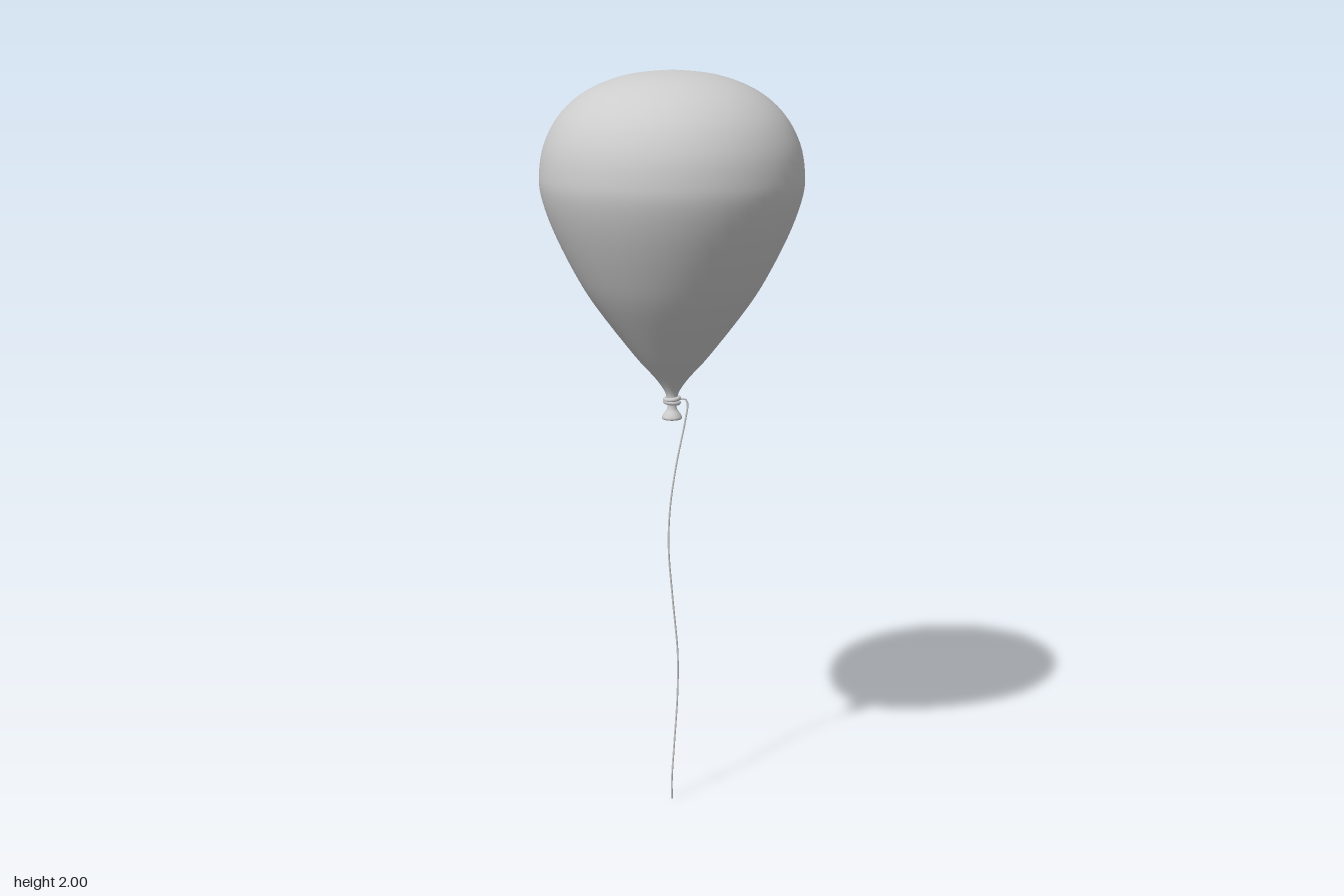
import * as THREE from 'three';

export function createModel() {
  const group = new THREE.Group();
  group.name = 'balloon';
  const rubber = new THREE.MeshStandardMaterial({ color: 0xcccccc, side: THREE.DoubleSide });
  rubber.name = 'light grey';

  const add = (name, geometry) => {
    const mesh = new THREE.Mesh(geometry, rubber);
    mesh.name = name;
    group.add(mesh);
    return mesh;
  };
  const v2 = ([r, y]) => new THREE.Vector2(r, y);

  // Inflated teardrop body, smooth profile from neck to crown
  const profile = new THREE.SplineCurve([
    [0.015, 1.13], [0.018, 1.155], [0.045, 1.195], [0.1, 1.257], [0.205, 1.395],
    [0.262, 1.49], [0.312, 1.595], [0.34, 1.68], [0.344, 1.74], [0.33, 1.815],
    [0.288, 1.89], [0.215, 1.95], [0.115, 1.987], [0, 2],
  ].map(v2)).getPoints(52);
  profile.forEach((p) => { p.x = Math.max(p.x, 0); });
  profile[profile.length - 1].set(0, 2);
  add('balloonBody', new THREE.LatheGeometry(profile, 48));

  // Flared, open nozzle hanging under the knot
  const nozzle = new THREE.SplineCurve([
    [0.019, 1.088], [0.024, 1.083], [0.027, 1.088], [0.022, 1.098],
    [0.013, 1.112], [0.012, 1.135],
  ].map(v2)).getPoints(20);
  add('nozzle', new THREE.LatheGeometry(nozzle, 32));
  const inner = new THREE.LatheGeometry([[0.006, 1.115], [0.012, 1.1], [0.019, 1.088]].map(v2), 32);
  add('nozzleInside', inner);

  // String loops tied around the neck
  [1.129, 1.138].forEach((y, i) => {
    const ring = add('knotRing' + (i + 1), new THREE.TorusGeometry(0.018, 0.006, 10, 32));
    ring.position.y = y;
    ring.rotation.set(Math.PI / 2, i ? 0.12 : -0.08, 0);
  });

  // Wavy hanging string
  const path = new THREE.CatmullRomCurve3([
    [0.016, 1.134, 0], [0.034, 1.137, 0], [0.042, 1.125, 0], [0.037, 1.08, -0.002],
    [0.012, 0.95, -0.006], [-0.004, 0.83, -0.009], [-0.007, 0.72, -0.011],
    [0.004, 0.58, -0.012], [0.018, 0.42, -0.011], [0.017, 0.3, -0.009],
    [0.007, 0.16, -0.004], [0, 0.06, -0.001], [0, 0, 0],
  ].map((p) => new THREE.Vector3(...p)));
  add('string', new THREE.TubeGeometry(path, 100, 0.0025, 8));

  return group;
}
